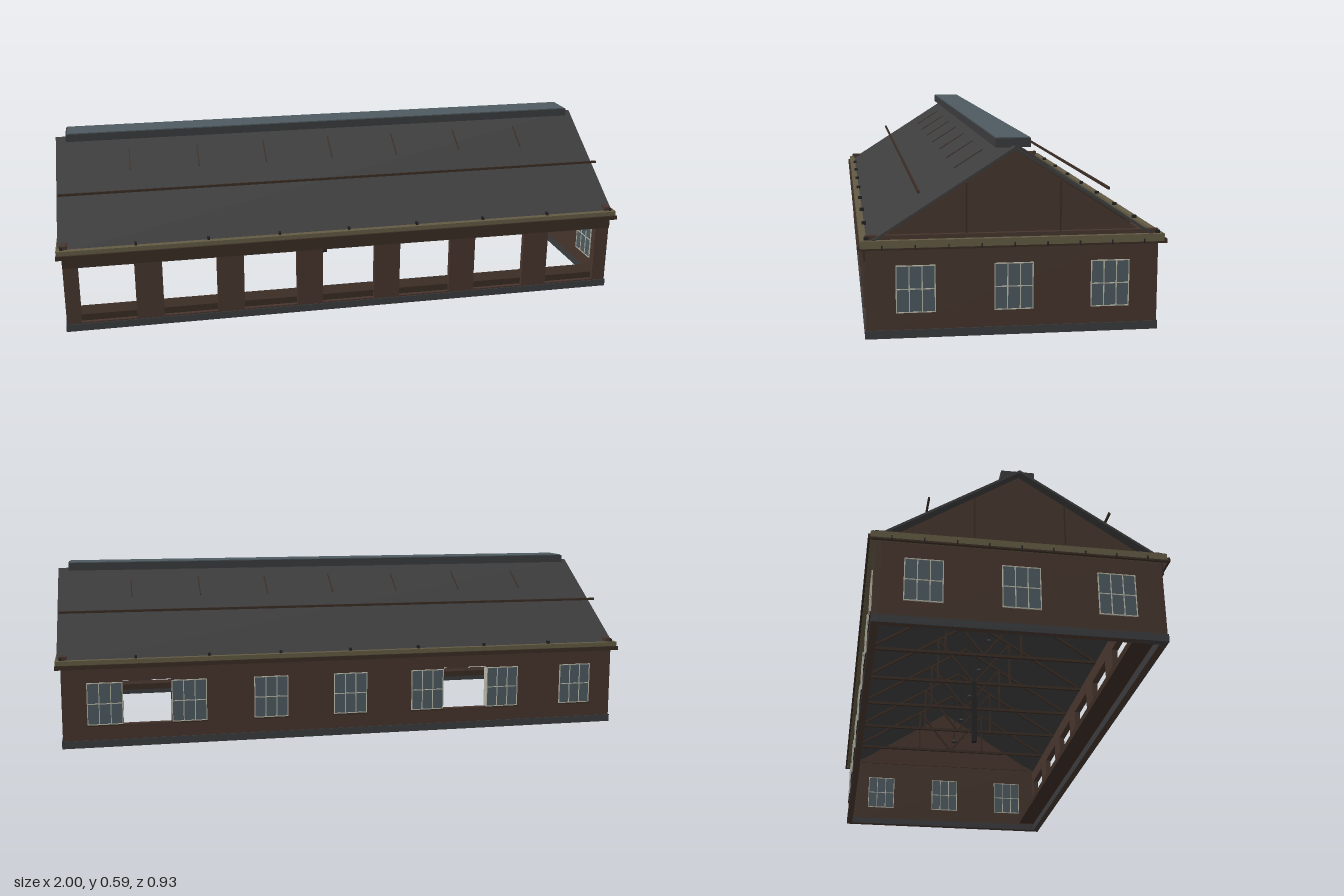
import * as THREE from 'three';

const mat = (name, color) => {
  const m = new THREE.MeshStandardMaterial({ color });
  m.name = name;
  return m;
};

export function createModel() {
  const root = new THREE.Group();
  root.name = 'longHall';
  const wallMat = mat('brown wall', 0x46352d);
  const trimMat = mat('dark brown timber', 0x3a2c24);
  const roofMat = mat('charcoal roof', 0x3c3c3c);
  const baseMat = mat('slate base', 0x3a3b3d);
  const glassMat = mat('blue grey glass', 0x4d5a60);
  const frameMat = mat('pale frame', 0xb4b3a4);
  const oliveMat = mat('olive cornice', 0x625a43);
  const ironMat = mat('black iron', 0x222222);

  const box = (name, m, w, h, d, x, y, z, parent = root) => {
    const b = new THREE.Mesh(new THREE.BoxGeometry(w, h, d), m);
    b.name = name;
    b.position.set(x, y, z);
    parent.add(b);
    return b;
  };

  // square beam between two points of a cross-section at x
  const beam = (name, x, z0, y0, z1, y1, t, parent) => {
    const b = box(name, trimMat, t, t, Math.hypot(z1 - z0, y1 - y0), x, (y0 + y1) / 2, (z0 + z1) / 2, parent);
    b.rotation.x = -Math.atan2(y1 - y0, z1 - z0);
  };

  // wall panel in the xy plane, holes given as [x0, x1, y0, y1]
  const wall = (name, w, h, holes, z) => {
    const s = new THREE.Shape([[-w, 0], [w, 0], [w, h], [-w, h]].map(p => new THREE.Vector2(...p)));
    for (const [a, b, c, d] of holes) {
      s.holes.push(new THREE.Path([[a, c], [a, d], [b, d], [b, c]].map(p => new THREE.Vector2(...p))));
    }
    const m = new THREE.Mesh(new THREE.ExtrudeGeometry(s, { depth: 0.02, bevelEnabled: false }), wallMat);
    m.name = name;
    m.position.z = z;
    root.add(m);
  };

  // window with three by two panes, visible on both sides of the wall
  const addWindow = (x, z, turn) => {
    const g = new THREE.Group();
    g.name = 'window';
    g.position.set(x, 0.148, z);
    g.rotation.y = turn;
    box('glass', glassMat, 0.115, 0.14, 0.024, 0, 0, 0, g);
    for (let i = 0; i < 4; i++) box('windowBar', frameMat, 0.003, 0.143, 0.028, (i - 1.5) * 0.0383, 0, 0, g);
    for (let i = -1; i <= 1; i++) box('windowBar', frameMat, 0.118, 0.003, 0.028, 0, i * 0.07, 0, g);
    root.add(g);
  };

  // walls: open bays in front, two openings at the back
  const bays = [];
  for (let i = -3; i <= 3; i++) bays.push([i * 0.279 - 0.093, i * 0.279 + 0.093, 0.03, 0.23]);
  wall('frontWall', 0.98, 0.283, bays, 0.42);
  wall('backWall', 0.98, 0.283, [[-0.503, -0.34, 0.076, 0.224], [0.62, 0.78, 0.076, 0.224]], -0.44);
  box('frontLedge', trimMat, 1.92, 0.023, 0.075, 0, 0.042, 0.39);
  box('frontLintel', trimMat, 1.96, 0.04, 0.006, 0, 0.253, 0.442);
  for (let i = -3; i <= 3; i++) {
    addWindow(i * 0.28, -0.43, 0);
    box('windowSill', trimMat, 0.125, 0.005, 0.012, i * 0.28, 0.074, -0.438);
  }

  // ends: wall, windows, gable and cornice
  const gableShape = new THREE.Shape([[-0.41, 0.29], [0.41, 0.29], [0, 0.556]].map(p => new THREE.Vector2(...p)));
  for (const s of [-1, 1]) {
    box('endWall', wallMat, 0.02, 0.31, 0.88, s * 0.97, 0.155, 0);
    for (const z of [-0.293, 0, 0.293]) addWindow(s * 0.97, z, Math.PI / 2);
    const gable = new THREE.Mesh(new THREE.ExtrudeGeometry(gableShape, { depth: 0.01, bevelEnabled: false }), wallMat);
    gable.name = 'gable';
    gable.rotation.y = Math.PI / 2;
    gable.position.x = s * 0.96 - 0.005;
    root.add(gable);
    for (const z of [-0.141, 0.141]) box('gableStrip', trimMat, 0.016, 0.15, 0.005, s * 0.967, 0.385, z);
    box('endCornice', oliveMat, 0.018, 0.025, 0.9, s * 0.988, 0.285, 0);
    box('endGutter', trimMat, 0.008, 0.006, 0.91, s * 0.994, 0.272, 0);
    for (let i = -4; i <= 4; i++) box('corniceBracket', ironMat, 0.004, 0.014, 0.004, s * 0.998, 0.277, i * 0.098);
  }

  // base course around the open floor
  for (const s of [-1, 1]) {
    box('longBase', baseMat, 1.966, 0.025, 0.024, 0, 0.0125, s * 0.431);
    box('endBase', baseMat, 0.024, 0.025, 0.886, s * 0.971, 0.0125, 0);
  }

  // folded roof sheet
  const roofShape = new THREE.Shape([
    [-0.442, 0.285], [0, 0.566], [0.442, 0.285], [0.442, 0.277], [0, 0.557], [-0.442, 0.277],
  ].map(p => new THREE.Vector2(...p)));
  const roof = new THREE.Mesh(new THREE.ExtrudeGeometry(roofShape, { depth: 1.984, bevelEnabled: false }), roofMat);
  roof.name = 'roof';
  roof.rotation.y = Math.PI / 2;
  roof.position.x = -0.992;
  root.add(roof);

  // glazed ridge light
  box('ridgeCurb', baseMat, 1.91, 0.027, 0.106, 0, 0.573, 0);
  box('ridgeGlass', glassMat, 1.9, 0.005, 0.1, 0, 0.587, 0);

  // eaves, gutters and roof rails
  for (const s of [-1, 1]) {
    box('eaveCornice', oliveMat, 1.99, 0.023, 0.02, 0, 0.286, s * 0.445);
    box('gutter', trimMat, 1.998, 0.014, 0.007, 0, 0.276, s * 0.459);
    box('roofRail', trimMat, 1.97, 0.008, 0.006, 0, 0.437, s * 0.283);
    for (let i = -4; i <= 4; i++) box('gutterBracket', ironMat, 0.008, 0.01, 0.014, i * 0.245, 0.302, s * 0.436);
  }

  // roof trusses
  for (let i = -3; i <= 3; i++) {
    const t = new THREE.Group();
    t.name = 'truss';
    const x = i * 0.245;
    beam('tieBeam', x, -0.42, 0.285, 0.42, 0.285, 0.01, t);
    for (const s of [-1, 1]) {
      beam('rafter', x, s * 0.41, 0.293, 0, 0.552, 0.008, t);
      beam('queenPost', x, s * 0.141, 0.285, s * 0.141, 0.464, 0.007, t);
      beam('strut', x, 0, 0.285, s * 0.141, 0.464, 0.007, t);
      // thin seam showing on the upper roof
      beam('roofSeam', x, s * 0.06, 0.528, s * 0.15, 0.471, 0.004, t);
    }
    root.add(t);
  }

  // centre post and hanging lamps
  box('centrePost', ironMat, 0.018, 0.25, 0.018, 0, 0.165, 0);
  for (const x of [-0.61, -0.367, -0.122, 0.122, 0.367, 0.61]) {
    box('lampCord', ironMat, 0.003, 0.26, 0.003, x, 0.42, 0);
    const lamp = new THREE.Mesh(new THREE.ConeGeometry(0.014, 0.014, 10), baseMat);
    lamp.name = 'lampShade';
    lamp.position.set(x, 0.285, 0);
    root.add(lamp);
  }
  return root;
}
